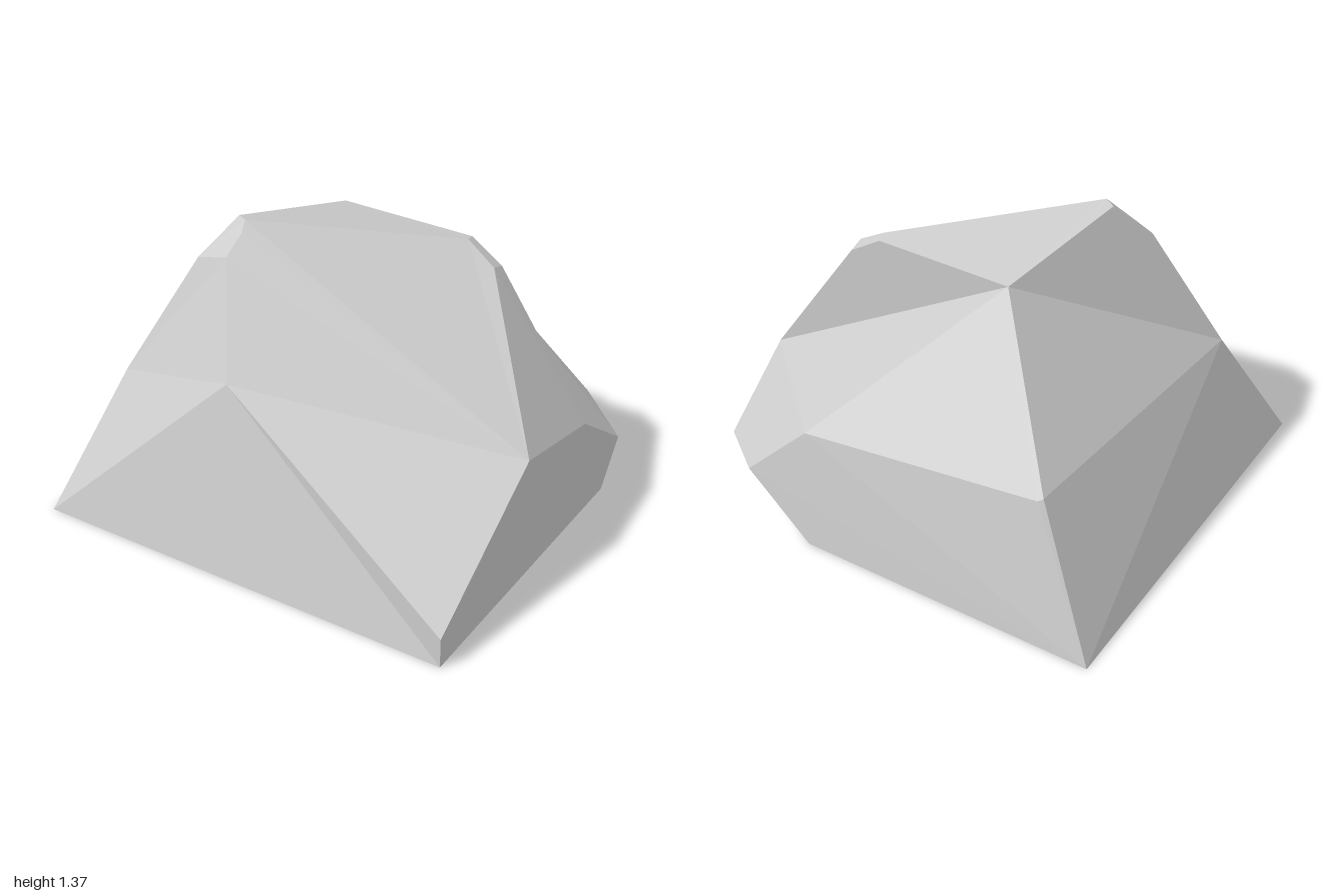
import * as THREE from 'three';

// Corner points of the faceted boulder
const P = {
  // base
  baseFL: [-1, 0, 0.93], baseFR: [1, 0, 0.93], baseBL: [-1, 0, -0.93],
  cutSide: [1, 0, -0.53], cutBack: [0.4, 0, -0.93],
  // front and right flank
  frontR: [1, 0.14, 0.93], frontMid: [-0.17, 0.82, 0.71], sideMid: [1, 0.59, 0.23],
  sideBack: [1, 0.48, -0.3], cutTopSide: [1, 0.2, -0.68], cutTopBack: [0.74, 0.25, -0.89],
  // left flank
  leftMid: [-0.8, 0.63, 0.59], leftHigh: [-0.51, 1.19, 0.42],
  // peak
  peakL: [-0.39, 1.36, 0.28], peak: [-0.34, 1.365, 0.31],
  peakLow: [-0.33, 1.32, 0.35], notch: [-0.35, 1.24, 0.44],
  // top ridge and back step
  ridgeR: [0.42, 1.24, -0.25], shoulder: [0.56, 1.15, -0.23],
  stepTop: [0.41, 1.23, -0.3], stepSide: [0.56, 1.13, -0.3], stepL: [-0.23, 1.23, -0.3],
  // back
  backL: [-0.69, 0.65, -0.77], backL2: [-0.67, 0.64, -0.785], backR: [0.45, 0.54, -0.84],
};

// Facets, each a loop of corners fanned from its first one
const FACETS = [
  // underside and undercut corner
  'baseFL baseFR cutSide cutBack baseBL',
  'cutBack cutSide cutTopSide cutTopBack',
  // front
  'baseFL baseFR frontMid', 'baseFR frontR frontMid', 'baseFL frontMid leftMid',
  'leftMid frontMid notch leftHigh',
  // sloping hollow on the front right
  'frontMid frontR sideMid', 'sideMid peakLow notch frontMid',
  'sideMid shoulder ridgeR peak peakLow',
  // right side
  'baseFR cutSide cutTopSide sideBack sideMid frontR',
  'shoulder sideMid sideBack stepSide', 'ridgeR shoulder stepSide stepTop',
  // top
  'leftHigh notch peakLow peak peakL', 'stepL peakL peak ridgeR stepTop',
  // left side
  'baseBL baseFL leftMid', 'baseBL leftMid backL', 'backL leftMid stepL',
  'stepL leftMid leftHigh peakL',
  // back, with the upright step
  'stepL stepTop stepSide sideBack', 'stepL sideBack backR',
  'stepL backR backL2', 'stepL backL2 backL', 'baseBL backL backL2',
  'baseBL backL2 backR', 'baseBL backR cutTopBack cutBack',
  'backR sideBack cutTopSide cutTopBack',
];

export function createModel() {
  const core = new THREE.Vector3(0, 0.4, 0.1);
  const positions = [];
  for (const facet of FACETS) {
    const loop = facet.split(' ').map((name) => new THREE.Vector3(...P[name]));
    for (let i = 1; i < loop.length - 1; i++) {
      const tri = new THREE.Triangle(loop[0], loop[i], loop[i + 1]);
      const normal = tri.getNormal(new THREE.Vector3());
      const outward = tri.getMidpoint(new THREE.Vector3()).sub(core);
      // turn every facet away from the core
      const corners = normal.dot(outward) > 0 ? [tri.a, tri.b, tri.c] : [tri.a, tri.c, tri.b];
      for (const v of corners) positions.push(v.x, v.y, v.z);
    }
  }
  const geometry = new THREE.BufferGeometry();
  geometry.setAttribute('position', new THREE.Float32BufferAttribute(positions, 3));
  geometry.computeVertexNormals();

  const boulder = new THREE.Mesh(
    geometry,
    new THREE.MeshStandardMaterial({ color: 0xcccccc, flatShading: true }),
  );
  boulder.name = 'boulder';

  const group = new THREE.Group();
  group.name = 'rock';
  group.add(boulder);
  return group;
}
